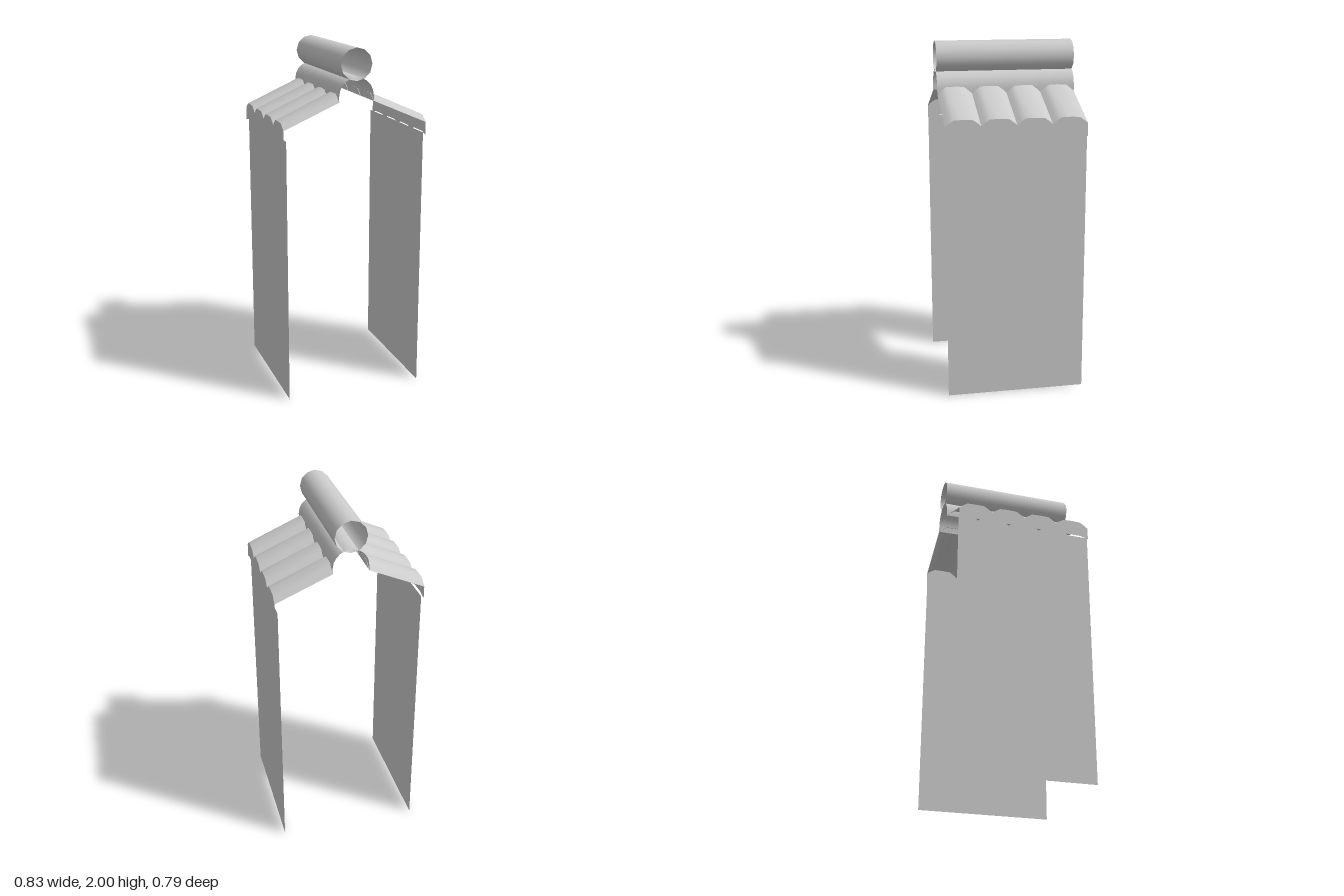
import * as THREE from 'three';

const HALF = 0.397;            // half length along z
const TILES = 4;
const PITCH = (2 * HALF) / TILES;
const material = new THREE.MeshStandardMaterial({ color: 0xcccccc, side: THREE.DoubleSide });

// Scalloped cross-section of one tile: fraction of the pitch, fraction of the height
const SCALLOP = [[0, 0], [0.1, 0.45], [0.24, 0.95], [0.5, 1], [0.76, 0.95], [0.9, 0.45], [1, 0]];

// Surface stretched between two lists of [x, y, z] points
function ruled(a, b) {
  const n = a.length, index = [];
  for (let i = 0; i < n - 1; i++) index.push(i, i + n, i + 1, i + 1, i + n, i + n + 1);
  const g = new THREE.BufferGeometry();
  g.setAttribute('position', new THREE.Float32BufferAttribute([...a, ...b].flat(), 3));
  g.setIndex(index);
  g.computeVertexNormals();
  return g;
}

// Scalloped edge of one tile at a given x
const edge = (x, y, height, z0) => SCALLOP.map(([t, h]) => [x, y + h * height, z0 + t * PITCH]);

function add(group, name, geometry) {
  const mesh = new THREE.Mesh(geometry, material);
  mesh.name = name;
  group.add(mesh);
  return mesh;
}

export function createModel() {
  const model = new THREE.Group();
  model.name = 'tiledWallTop';

  for (const [side, s] of [['left', 1], ['right', -1]]) {
    // Thin wall face
    const wall = add(model, side + 'Wall', new THREE.PlaneGeometry(2 * HALF, 1.515));
    wall.rotation.y = s * Math.PI / 2;
    wall.position.set(s * 0.4, 1.515 / 2, 0);

    // Sloping tiles, each with a hanging lip at the eave
    const roof = new THREE.Group();
    roof.name = side + 'Roof';
    model.add(roof);
    for (let i = 0; i < TILES; i++) {
      const z0 = -HALF + i * PITCH;
      const eave = edge(s * 0.415, 1.573, 0.037, z0);
      add(roof, 'roofTile', ruled(edge(s * 0.097, 1.71, 0.04, z0), eave));
      add(roof, 'eaveLip', ruled(eave, edge(s * 0.415, 1.5, 0.015, z0)));
    }
  }

  // Arched ridge cover with short straight legs
  const arch = [[0.1, 1.71]];
  for (let i = 0; i <= 10; i++) {
    const a = (i / 10) * Math.PI;
    arch.push([0.1 * Math.cos(a), 1.74 + 0.1 * Math.sin(a)]);
  }
  arch.push([-0.1, 1.71]);
  add(model, 'ridgeCover', ruled(
    arch.map(([x, y]) => [x, y, -HALF]),
    arch.map(([x, y]) => [x, y, HALF])));

  // Open round tube along the ridge
  const tube = add(model, 'ridgeTube', new THREE.CylinderGeometry(0.09, 0.09, 2 * HALF, 12, 1, true));
  tube.rotation.x = Math.PI / 2;
  tube.position.y = 1.91;

  return model;
}
